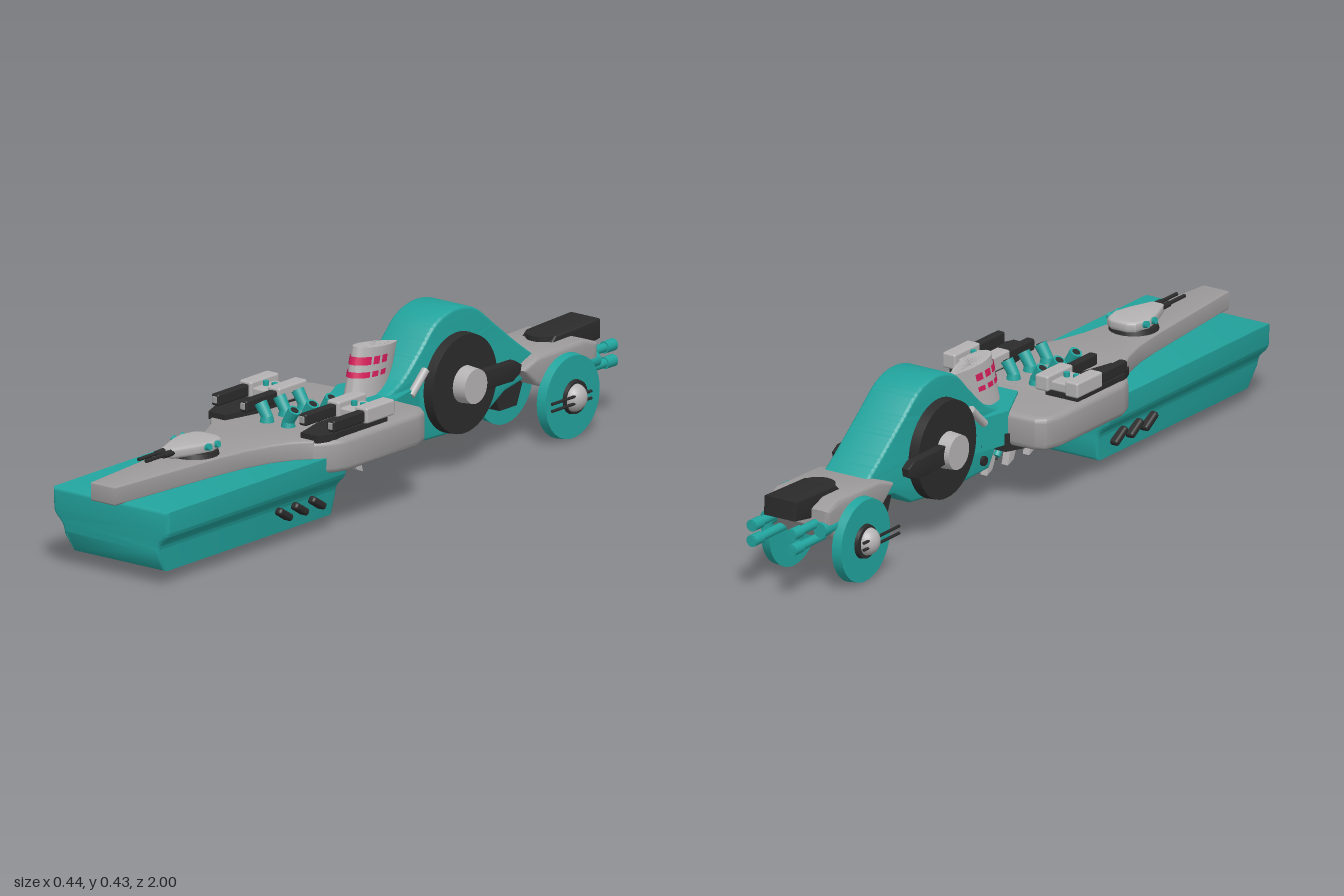
import * as THREE from 'three';
import { toCreasedNormals } from 'three/addons/utils/BufferGeometryUtils.js';
import { RoundedBoxGeometry } from 'three/addons/geometries/RoundedBoxGeometry.js';
import { ParametricGeometry } from 'three/addons/geometries/ParametricGeometry.js';

const mat = (name, color) => Object.assign(new THREE.MeshStandardMaterial({ color }), { name });

export function createModel() {
  const root = new THREE.Group();
  root.name = 'starship';
  const teal = mat('teal', 0x22a39d), grey = mat('hull grey', 0x9c9a9a);
  const pale = mat('pale grey', 0xb4b2b2), dark = mat('charcoal', 0x2b2b2b), red = mat('crimson', 0xd81f5c);
  red.side = THREE.DoubleSide;
  const V = (x, y, z) => new THREE.Vector3(x, y, z);

  const add = (name, geo, material, x = 0, y = 0, z = 0) => {
    const m = new THREE.Mesh(geo, material);
    m.name = name;
    m.position.set(x, y, z);
    root.add(m);
    return m;
  };
  const toShape = pts => new THREE.Shape(pts.map(p => new THREE.Vector2(p[0], p[1])));
  const extrude = (shape, depth, b) => new THREE.ExtrudeGeometry(shape, {
    depth: depth - 2 * b, bevelEnabled: b > 0, bevelSize: b, bevelThickness: b,
    bevelOffset: -b, bevelSegments: 3, curveSegments: 24,
  }).translate(0, 0, b);
  // Outline of the +x half in (x, z), mirrored and raised from y0 to y1
  const plan = (half, y0, y1, b = 0) => {
    const pts = [...half, ...half.slice().reverse().map(([x, z]) => [-x, z])].map(([x, z]) => [x, -z]);
    return toCreasedNormals(extrude(toShape(pts), y1 - y0, b).rotateX(-Math.PI / 2).translate(0, y0, 0), 0.6);
  };
  // Side outline in (z, y), spread evenly across x
  const side = (shape, width, b = 0) =>
    toCreasedNormals(extrude(shape, width, b).rotateY(-Math.PI / 2).translate(width / 2, 0, 0), 0.6);
  // Cylinder between two points
  const rod = (name, a, b, r0, r1, material, n = 20) => {
    const d = b.clone().sub(a);
    const m = add(name, new THREE.CylinderGeometry(r1, r0, d.length(), n), material);
    m.position.copy(a).add(b).multiplyScalar(0.5);
    m.quaternion.setFromUnitVectors(V(0, 1, 0), d.normalize());
    return m;
  };
  const box = (name, w, h, d, material, x, y, z, r = 0.005) =>
    add(name, new RoundedBoxGeometry(w, h, d, 2, r), material, x, y, z);

  // Front hull: curved cross-section with a raked lower bow
  const hullShape = new THREE.Shape();
  hullShape.moveTo(-0.15, 0.035);
  hullShape.lineTo(0.15, 0.035);
  hullShape.lineTo(0.155, 0.09);
  hullShape.bezierCurveTo(0.157, 0.13, 0.188, 0.125, 0.19, 0.155);
  hullShape.lineTo(0.192, 0.208);
  hullShape.lineTo(-0.192, 0.208);
  hullShape.lineTo(-0.19, 0.155);
  hullShape.bezierCurveTo(-0.188, 0.125, -0.157, 0.13, -0.155, 0.09);
  const hullGeo = extrude(hullShape, 0.73, 0.01).translate(0, 0, 0.24);
  const hp = hullGeo.attributes.position;
  for (let i = 0; i < hp.count; i++) {
    const drop = Math.max(0, 0.1 - hp.getY(i));
    if (hp.getZ(i) > 0.6) hp.setZ(i, hp.getZ(i) - drop * drop * 9);
    else hp.setZ(i, hp.getZ(i) + drop * drop * 3);
  }
  add('frontHull', toCreasedNormals(hullGeo, 0.6), teal);

  // Command deck: long spine plus thicker wide section
  const wide = [[0.1, 0.40], [0.17, 0.355], [0.205, 0.31], [0.219, 0.27], [0.219, -0.01], [0.205, -0.055], [0.18, -0.075], [0.08, -0.08]];
  add('deckSpine', plan([[0.04, 1], [0.075, 0.62], [0.088, 0.53], [0.11, 0.45], [0.14, 0.39], [0.17, 0.355], [0.18, 0.1]], 0.205, 0.256, 0.005), grey);
  add('deckWings', plan(wide, 0.165, 0.255, 0.015), grey);
  add('keelPlate', plan([[0.15, 0.27], [0.15, 0.02], [0.1, -0.09]], 0.152, 0.2), dark);

  // Arched neck
  const neck = new THREE.Shape();
  neck.moveTo(-0.05, 0.255);
  neck.lineTo(-0.08, 0.17);
  neck.lineTo(-0.12, 0.11);
  neck.lineTo(-0.32, 0.102);
  neck.lineTo(-0.47, 0.12);
  neck.lineTo(-0.55, 0.165);
  neck.lineTo(-0.66, 0.185);
  neck.lineTo(-0.67, 0.235);
  neck.splineThru([[-0.6, 0.285], [-0.51, 0.355], [-0.43, 0.415], [-0.35, 0.432], [-0.27, 0.41], [-0.2, 0.345], [-0.13, 0.285], [-0.05, 0.255]]
    .map(p => new THREE.Vector2(...p)));
  add('neckArch', side(neck, 0.14, 0.008), teal);
  add('neckCollar', plan([[0.035, 0.06], [0.1, -0.075], [0.07, -0.2]], 0.17, 0.26), teal);

  // Command tower: swept teardrop with window bands
  const tower = (a, y, grow, target) => {
    const t = (y - 0.25) / 0.14;
    const taper = Math.pow(Math.max(0, Math.cos(a / 2)), 0.7);
    target.set(0.046 * Math.sin(a) * taper * (1 - 0.2 * t) * grow,
      y - 0.01 * (1 - Math.cos(a)) * t,
      -0.075 - 0.035 * t + 0.085 * Math.cos(a) * grow);
  };
  const towerWall = new ParametricGeometry((u, v, p) => {
    tower((u * 2 - 1) * Math.PI, 0.25 + 0.14 * Math.min(1, v / 0.75), v > 0.99 ? 0.01 : 1, p);
  }, 40, 4);
  add('commandTower', toCreasedNormals(towerWall, 0.6), pale);
  const windowBand = (a0, a1, y0, y1) => add('towerWindow', new ParametricGeometry((u, v, p) => {
    tower(a0 + (a1 - a0) * u, y0 + (y1 - y0) * v, 1.04, p);
  }, 14, 1), red);
  for (const [y0, y1] of [[0.312, 0.327], [0.345, 0.366]]) {
    windowBand(-1, 1, y0, y1);
    for (const s of [-1, 1]) for (const a of [1.1, 1.5]) windowBand(s > 0 ? a : -a - 0.28, s > 0 ? a + 0.28 : -a, y0, y1);
  }

  // Bow turret
  add('turretRing', new THREE.CylinderGeometry(0.062, 0.066, 0.014, 28), dark, 0, 0.262, 0.63);
  add('turretBody', plan([[0.018, 0.74], [0.045, 0.67], [0.056, 0.62], [0.045, 0.575], [0.025, 0.562]], 0.266, 0.295, 0.008), pale);

  // Tail section
  add('tailBody', side(toShape([[-0.585, 0.215], [-0.64, 0.165], [-0.72, 0.135], [-0.85, 0.135], [-0.89, 0.18],
    [-0.89, 0.225], [-0.84, 0.243], [-0.65, 0.24]]), 0.2, 0.012), grey);
  add('tailHood', side(toShape([[-0.76, 0.238], [-0.78, 0.256], [-0.96, 0.262], [-0.962, 0.21], [-0.87, 0.195]]), 0.1, 0.004), dark);
  add('hoodNose', new THREE.CylinderGeometry(0.046, 0.046, 0.02, 24), dark, 0, 0.245, -0.79);
  add('neckFin', side(toShape([[-0.525, 0.17], [-0.55, 0.108], [-0.62, 0.108], [-0.65, 0.18]]), 0.1), dark);

  for (const s of [-1, 1]) {
    // Neck engine wheel
    rod('engineDisc', V(s * 0.06, 0.235, -0.35), V(s * 0.098, 0.235, -0.35), 0.134, 0.131, dark, 48);
    rod('engineHub', V(s * 0.09, 0.235, -0.35), V(s * 0.135, 0.235, -0.35), 0.05, 0.046, pale, 32);
    const arm = side(toShape([[-0.36, 0.21], [-0.36, 0.262], [-0.53, 0.26], [-0.555, 0.245], [-0.55, 0.222], [-0.52, 0.207]]), 0.024, 0.004);
    add('engineArm', arm, dark, s * 0.109);
    rod('neckStrut', V(s * 0.078, 0.245, -0.155), V(s * 0.078, 0.3, -0.215), 0.011, 0.011, pale);
    for (const [y, z, r] of [[0.21, -0.115, 0.021], [0.185, -0.155, 0.013], [0.14, -0.15, 0.013]])
      rod('neckPort', V(s * 0.06, y, z), V(s * 0.078, y, z), r, r, dark);

    // Tail wheel pods and stern cannons
    rod('tailDisc', V(s * 0.098, 0.113, -0.755), V(s * 0.125, 0.113, -0.755), 0.113, 0.11, teal, 48);
    rod('podRing', V(s * 0.12, 0.113, -0.76), V(s * 0.135, 0.113, -0.76), 0.047, 0.044, dark, 32);
    const dome = add('podDome', new THREE.SphereGeometry(0.037, 24, 16), pale, s * 0.13, 0.113, -0.755);
    dome.scale.x = 0.9;
    for (const y of [0.105, 0.124]) rod('podGun', V(s * 0.15, y, -0.8), V(s * 0.15, y, -0.64), 0.004, 0.004, dark, 10);
    for (const y of [0.145, 0.187]) {
      rod('sternCannon', V(s * 0.062, y, -0.84), V(s * 0.062, y, -1), 0.012, 0.012, teal);
      rod('cannonMuzzle', V(s * 0.062, y, -0.96), V(s * 0.062, y, -0.998), 0.016, 0.016, teal);
    }
    rod('cannonSleeve', V(s * 0.083, 0.175, -0.8), V(s * 0.083, 0.175, -0.9), 0.02, 0.02, teal);

    // Side launcher pads with paired boxes and barrels
    const pad = toShape([[0.1, -0.09], [0.2, -0.09], [0.2, -0.3], [0.18, -0.35], [0.125, -0.35], [0.1, -0.25]].map(([x, y]) => [s * x, y]));
    add('launcherPad', extrude(pad, 0.02, 0).rotateX(-Math.PI / 2), dark, 0, 0.25, 0);
    for (const x of [0.098, 0.191]) {
      box('launcherBox', 0.041, 0.042, 0.115, pale, s * x, 0.291, 0.13, 0.006);
      box('launcherBarrel', 0.024, 0.031, 0.13, dark, s * x, 0.289, 0.245);
      box('barrelTip', 0.014, 0.018, 0.006, grey, s * x, 0.29, 0.311, 0.002);
    }
    box('launcherBridge', 0.07, 0.026, 0.09, pale, s * 0.145, 0.283, 0.135);
    for (const x of [0.131, 0.16]) rod('bridgeCap', V(s * x, 0.29, 0.14), V(s * x, 0.308, 0.14), 0.008, 0.008, teal, 14);

    // Deck mortars, hull vents and belly masts
    for (const z of [0.14, 0.215, 0.29]) {
      rod('mortarFoot', V(s * 0.035, 0.25, z), V(s * 0.035, 0.27, z), 0.02, 0.016, teal);
      rod('mortarTube', V(s * 0.032, 0.265, z), V(s * 0.056, 0.303, z), 0.015, 0.017, teal);
      rod('mortarBore', V(s * 0.056, 0.303, z), V(s * 0.0565, 0.304, z), 0.011, 0.011, dark);
    }
    for (const z of [0.465, 0.4, 0.33]) {
      const vent = box('hullVent', 0.035, 0.02, 0.06, dark, s * 0.158, 0.085, z, 0.008);
      vent.rotation.x = -0.55;
    }
    for (const z of [0.19, 0.095, 0]) rod('mastPod', V(s * 0.016, 0.125, z + 0.01), V(s * 0.016, 0.1, z - 0.01), 0.01, 0.01, teal, 14);

    // Bow turret guns and side caps
    rod('turretGun', V(s * 0.012, 0.284, 0.7), V(s * 0.012, 0.284, 0.84), 0.005, 0.005, dark, 12);
    rod('gunSleeve', V(s * 0.012, 0.283, 0.68), V(s * 0.012, 0.283, 0.77), 0.01, 0.008, dark, 14);
    for (const z of [0.605, 0.64]) rod('turretCap', V(s * 0.04, 0.28, z), V(s * 0.062, 0.286, z), 0.009, 0.009, teal, 12);
  }

  for (const z of [0.19, 0.095, 0]) {
    const mast = side(toShape([[z + 0.025, 0.155], [z - 0.018, 0.155], [z - 0.045, 0.055], [z - 0.02, 0.065]]), 0.02);
    add('bellyMast', mast, pale);
    rod('bellyWire', V(0, 0.155, z + 0.03), V(0, 0.08, z + 0.012), 0.003, 0.003, dark, 8);
  }
  return root;
}
